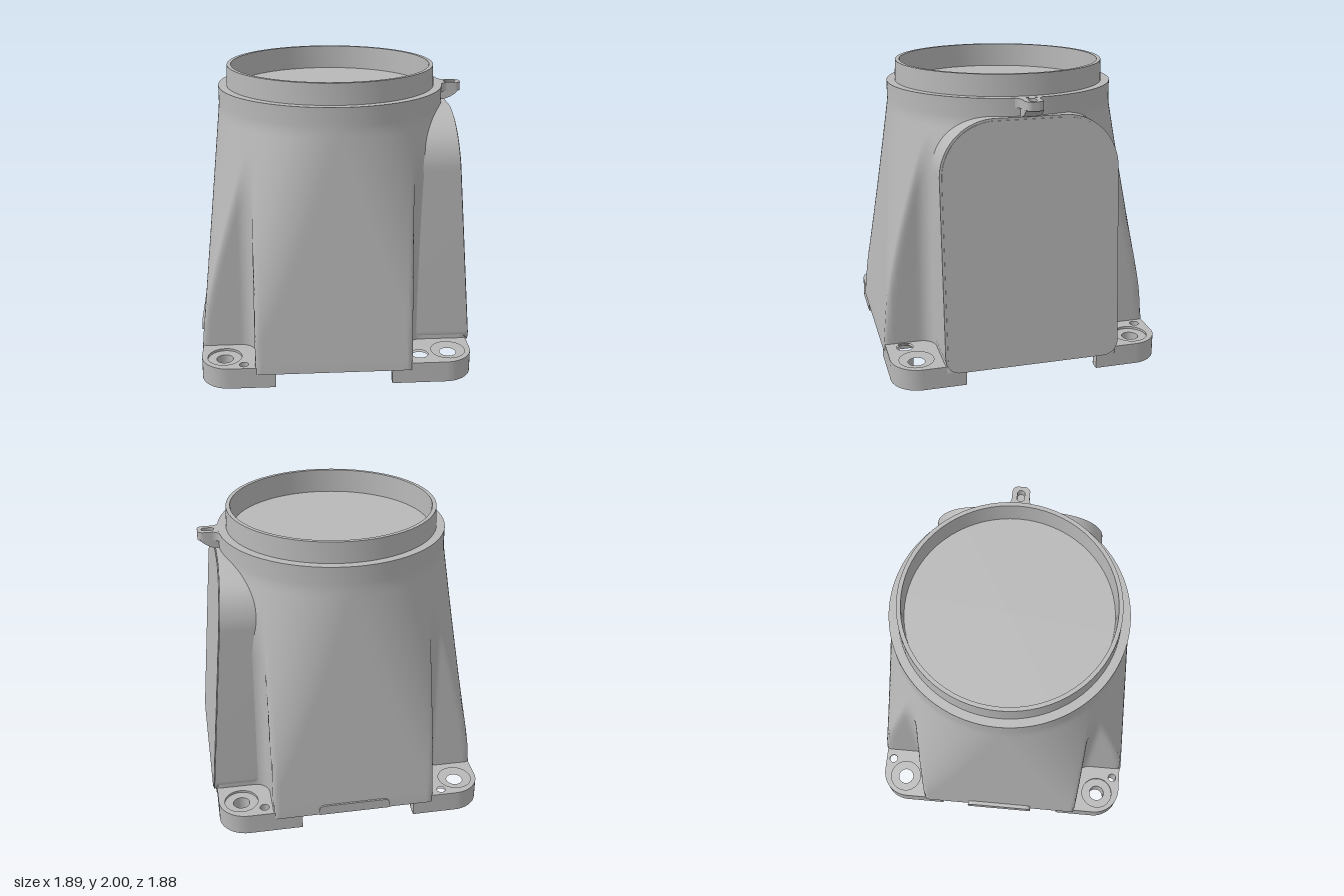
import * as THREE from 'three';
import { toCreasedNormals } from 'three/addons/utils/BufferGeometryUtils.js';

const grey = new THREE.MeshStandardMaterial({ color: 0xb8b8b8 });
grey.name = 'castGrey';

const lerp = THREE.MathUtils.lerp;
const CORNERS = [[1, 1], [-1, 1], [-1, -1], [1, -1]];

function add(group, name, geometry) {
  const mesh = new THREE.Mesh(geometry, grey);
  mesh.name = name;
  group.add(mesh);
  return mesh;
}

function smoothMin(p, q, w) {
  const h = Math.max(w - Math.abs(p - q), 0) / w;
  return Math.min(p, q) - (h * h * w) / 4;
}

// Outline of one quadrant of the housing at height y, with its filleted corner pocket
function quadrant(y, sx, sz) {
  const t = THREE.MathUtils.clamp((y - 0.12) / 1.58, 0, 1);
  const hx = y > 1.7 ? 0.775 : lerp(0.922, 0.778, t);
  const hz = hx + 0.013 * (1 - t);
  const round = hx * lerp(0.3, 1, t ** 0.85);
  const a = sx > 0 && sz > 0 ? 0.495 + 0.035 * t ** 3 : 0.555;
  const b = 0.588, f = 0.1;

  // Rounded rectangle that ends as a circle
  const outer = (c, s) => {
    const cx = hx - round, cz = hz - round;
    const along = c * cx + s * cz;
    const r = along + Math.sqrt(Math.max(round * round - cx * cx - cz * cz + along * along, 0));
    if (r * c > cx && r * s > cz) return r;
    return Math.min(hx / Math.max(c, 1e-6), hz / Math.max(s, 1e-6));
  };
  const pocket = (c, s) => {
    const along = c * (a + f) + s * (b + f);
    const disc = f * f - (a + f) ** 2 - (b + f) ** 2 + along * along;
    const hit = along - Math.sqrt(Math.max(disc, 0));
    if (disc > 0 && hit * c < a + f && hit * s < b + f) return hit;
    return Math.max(a / Math.max(c, 1e-6), b / Math.max(s, 1e-6));
  };

  const pts = [];
  const N = 80;
  for (let i = 0; i <= N; i++) {
    const u = i / N;
    const q = (Math.PI / 2) * (u + (0.6 * Math.sin(2 * Math.PI * u)) / (2 * Math.PI));
    const c = Math.cos(q), s = Math.sin(q);
    const r = smoothMin(outer(c, s), pocket(c, s), 0.035);
    pts.push([r * c * sx, y, r * s * sz]);
  }
  if (sx * sz < 0) pts.reverse();
  return pts.slice(0, -1);
}

// Housing lofted from a square base with corner pockets to a round collar with a recessed top
function housingGeometry() {
  const levels = [0.1, 0.15];
  for (let i = 1; i <= 40; i++) levels.push(0.15 + (1.55 * i) / 40);
  levels.push(1.74, 1.86);
  const rings = levels.map((y) => CORNERS.flatMap(([sx, sz]) => quadrant(y, sx, sz)));
  const collar = rings[rings.length - 1];
  for (const y of [1.86, 1.835]) rings.push(collar.map(([x, , z]) => [x * 0.9, y, z * 0.9]));
  const n = collar.length;
  const pos = rings.flat(2);
  const index = [];
  const bottom = rings.length * n, top = bottom + 1;
  pos.push(0, 0.1, 0, 0, 1.835, 0);
  const last = (rings.length - 1) * n;
  for (let i = 0; i < n; i++) {
    const j = (i + 1) % n;
    for (let l = 0; l < rings.length - 1; l++) {
      const p = l * n + i, q = l * n + j;
      index.push(p, p + n, q, q, p + n, q + n);
    }
    index.push(bottom, i, j, top, last + j, last + i);
  }
  const g = new THREE.BufferGeometry();
  g.setAttribute('position', new THREE.Float32BufferAttribute(pos, 3));
  g.setIndex(index);
  return toCreasedNormals(g, 1.25);
}

// Flat plan shape (x, z) raised from y0 to y1
function plate(shape, y0, y1) {
  const g = new THREE.ExtrudeGeometry(shape, { depth: y1 - y0, bevelEnabled: false, curveSegments: 12 });
  g.rotateX(Math.PI / 2);
  g.translate(0, y1, 0);
  return toCreasedNormals(g, 0.5);
}

function hole(shape, x, z, r) {
  shape.holes.push(new THREE.Path().absarc(x, z, r, 0, Math.PI * 2, true));
}

// Corner foot outline with a bell-shaped inner edge, mounting hole and side hole
function footShape(sx, sz, mainRadius) {
  const X = 0.915, Z = 0.925, r = 0.19;
  const ix = sx > 0 ? 0.36 : 0.42, iz = 0.45;
  const s = new THREE.Shape();
  const curve = (...p) => s.bezierCurveTo(...p.map((v, i) => v * (i % 2 ? sz : sx)));
  const line = (x, z) => s.lineTo(x * sx, z * sz);
  s.moveTo(ix * sx, Z * sz);
  line(X - r, Z);
  curve(X - r * 0.45, Z, X, Z - r * 0.45, X, Z - r);
  line(X, iz);
  line(0.87, iz);
  curve(0.78, iz, 0.78, 0.55, 0.68, 0.55);
  line(0.6, 0.55);
  curve(0.52, 0.55, 0.48, 0.57, 0.48, 0.66);
  curve(0.48, 0.78, ix, 0.76, ix, 0.87);
  s.closePath();
  hole(s, 0.76 * sx, 0.755 * sz, mainRadius);
  if (sx < 0) hole(s, -0.63, 0.87 * sz, 0.03);
  else if (sz < 0) hole(s, 0.61, -0.85, 0.032);
  else hole(s, 0.56, 0.8, 0.056);
  return s;
}

// Arched side cover, leaning with the housing wall
function coverGeometry(half, y0, y1, rTop, rBottom, xFace, depth) {
  const s = new THREE.Shape();
  s.absarc(half - rBottom, y0 + rBottom, rBottom, -Math.PI / 2, 0, false);
  s.absarc(half - rTop, y1 - rTop, rTop, 0, Math.PI / 2, false);
  s.absarc(rTop - half, y1 - rTop, rTop, Math.PI / 2, Math.PI, false);
  s.absarc(rBottom - half, y0 + rBottom, rBottom, Math.PI, Math.PI * 1.5, false);
  const g = new THREE.ExtrudeGeometry(s, { depth, bevelEnabled: false, curveSegments: 16 });
  g.translate(0, 0, -depth);
  g.rotateY(Math.PI / 2);
  const lean = 0.085;
  g.applyMatrix4(new THREE.Matrix4().set(1, -lean, 0, xFace, 0, 1, 0, 0, 0, 0, 1, 0, 0, 0, 0, 1));
  return toCreasedNormals(g, 0.5);
}

export function createModel() {
  const model = new THREE.Group();
  model.name = 'pedestalHousing';

  add(model, 'housing', housingGeometry());

  // Thin-walled ring standing on the collar
  const ringProfile = [[0.72, 1.83], [0.712, 2], [0.685, 2], [0.68, 1.83]];
  const ring = new THREE.LatheGeometry(ringProfile.map(([x, y]) => new THREE.Vector2(x, y)), 72);
  add(model, 'topRing', toCreasedNormals(ring, 0.5));

  // Feet: lower layer with bolt hole, upper layer with counterbore
  for (const [sx, sz] of CORNERS) {
    const foot = new THREE.Group();
    foot.name = (sz > 0 ? 'front' : 'back') + (sx > 0 ? 'Left' : 'Right') + 'Foot';
    add(foot, 'footPad', plate(footShape(sx, sz, 0.056), 0, 0.13));
    add(foot, 'footCounterbore', plate(footShape(sx, sz, 0.115), 0.13, 0.146));
    model.add(foot);
  }

  // Side cover boss and its slightly raised face
  add(model, 'sideCover', coverGeometry(0.592, 0.102, 1.745, 0.36, 0.1, 0.947, 0.42));
  add(model, 'sideCoverFace', coverGeometry(0.577, 0.117, 1.73, 0.345, 0.085, 0.952, 0.008));

  // Lug with slot above the cover
  const lug = new THREE.Shape();
  lug.moveTo(0.725, -0.1);
  lug.lineTo(0.765, -0.1);
  lug.quadraticCurveTo(0.785, -0.06, 0.82, -0.06);
  lug.absarc(0.873, -0.02, 0.04, -Math.PI / 2, 0, false);
  lug.absarc(0.873, 0.02, 0.04, 0, Math.PI / 2, false);
  lug.lineTo(0.82, 0.06);
  lug.quadraticCurveTo(0.785, 0.06, 0.765, 0.1);
  lug.lineTo(0.725, 0.1);
  lug.closePath();
  const slot = new THREE.Path();
  slot.absarc(0.86, 0, 0.025, Math.PI / 2, -Math.PI / 2, true);
  slot.absarc(0.825, 0, 0.025, -Math.PI / 2, -Math.PI * 1.5, true);
  lug.holes.push(slot);
  add(model, 'lug', plate(lug, 1.8, 1.859));

  // Gusset under the lug
  const gusset = new THREE.Shape();
  gusset.moveTo(0.73, 1.805);
  gusset.lineTo(0.73, 1.72);
  gusset.lineTo(0.78, 1.74);
  gusset.quadraticCurveTo(0.85, 1.75, 0.9, 1.805);
  gusset.closePath();
  const gussetGeo = new THREE.ExtrudeGeometry(gusset, { depth: 0.116, bevelEnabled: false });
  gussetGeo.translate(0, 0, -0.058);
  add(model, 'lugGusset', toCreasedNormals(gussetGeo, 0.5));

  // Low pads on the right and back walls
  const pad = new THREE.Shape();
  pad.moveTo(-0.245, 0);
  pad.lineTo(0.245, 0);
  pad.lineTo(0.245, 0.03);
  pad.quadraticCurveTo(0.245, 0.07, 0.205, 0.07);
  pad.lineTo(-0.205, 0.07);
  pad.quadraticCurveTo(-0.245, 0.07, -0.245, 0.03);
  pad.closePath();
  const padGeo = new THREE.ExtrudeGeometry(pad, { depth: 0.06, bevelEnabled: false });
  const rightPad = add(model, 'rightPad', padGeo);
  rightPad.rotation.y = -Math.PI / 2;
  rightPad.position.set(-0.885, 0.101, 0);
  const backPad = add(model, 'backPad', padGeo);
  backPad.rotation.y = Math.PI;
  backPad.position.set(0, 0.101, -0.882);

  return model;
}
